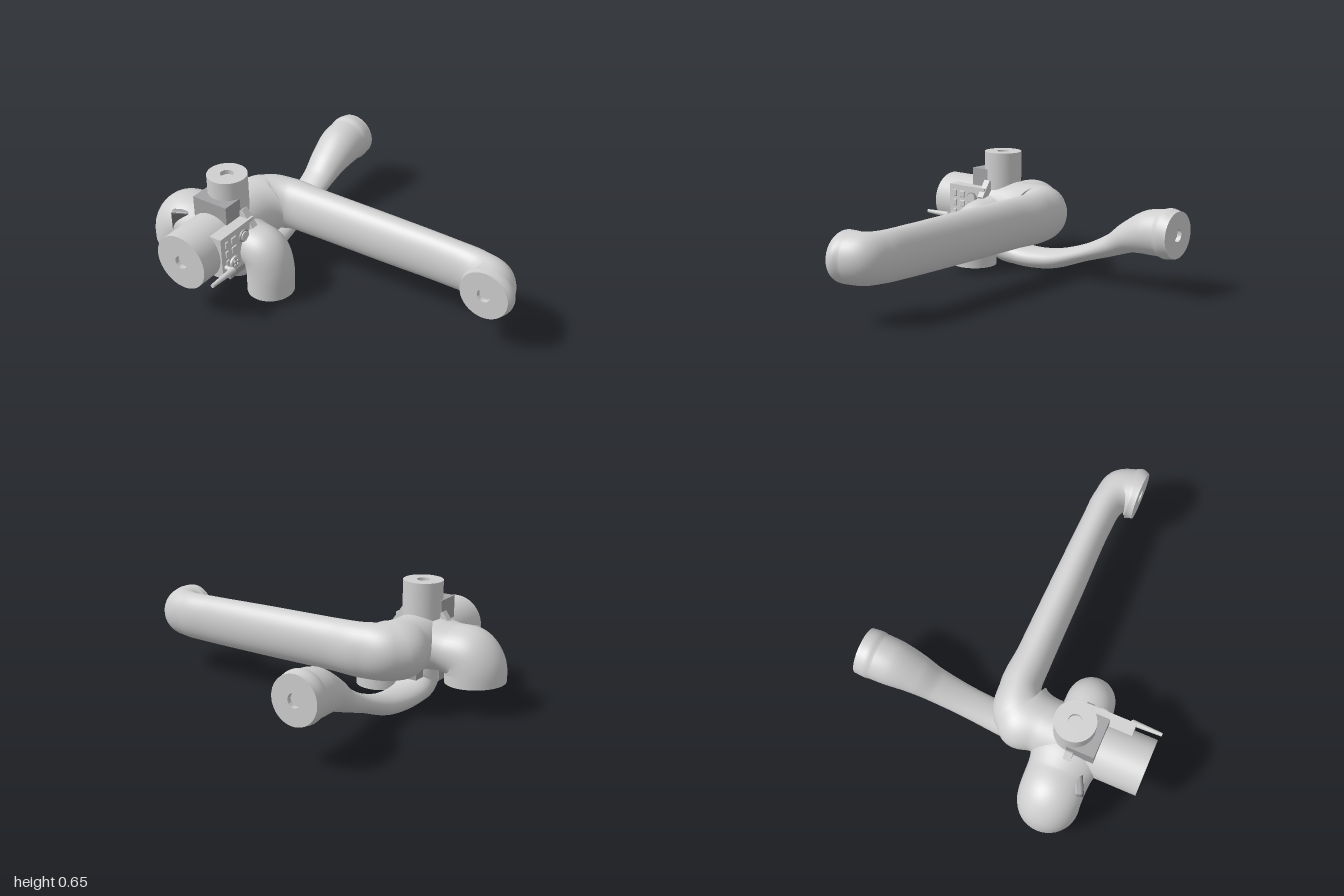
import * as THREE from 'three';
import { toCreasedNormals } from 'three/addons/utils/BufferGeometryUtils.js';
import { RoundedBoxGeometry } from 'three/addons/geometries/RoundedBoxGeometry.js';

const mat = (name, color) => {
  const m = new THREE.MeshStandardMaterial({ color });
  m.name = name;
  return m;
};

// Lofts ellipses along a planar path; each row is [x, y, z, radius along the plane normal, radius in the plane].
function loft(rows, normal, steps = 64, sides = 40) {
  const path = new THREE.CatmullRomCurve3(rows.map(r => new THREE.Vector3(r[0], r[1], r[2])));
  const radii = new THREE.CatmullRomCurve3(rows.map(r => new THREE.Vector3(r[3], r[4], 0)));
  const pos = [], idx = [], n = new THREE.Vector3();
  for (let i = 0; i <= steps; i++) {
    const t = i / steps;
    const c = path.getPoint(t), r = radii.getPoint(t);
    n.crossVectors(path.getTangent(t), normal).normalize();
    for (let j = 0; j < sides; j++) {
      const a = (j / sides) * Math.PI * 2;
      const p = c.clone().addScaledVector(normal, r.x * Math.cos(a)).addScaledVector(n, r.y * Math.sin(a));
      pos.push(p.x, p.y, p.z);
      if (i < steps) {
        const k = (j + 1) % sides, A = i * sides, B = A + sides;
        idx.push(A + j, A + k, B + k, A + j, B + k, B + j);
      }
    }
  }
  const g = new THREE.BufferGeometry();
  g.setAttribute('position', new THREE.Float32BufferAttribute(pos, 3));
  g.setIndex(idx);
  g.computeVertexNormals();
  return g;
}

export function createModel() {
  const model = new THREE.Group();
  const body = mat('light grey body', 0xcfcfcf);
  const block = mat('mid grey block', 0xa2a2a4);
  const dark = mat('dark grey screen', 0x5c5d60);
  const X = new THREE.Vector3(1, 0, 0), Y = new THREE.Vector3(0, 1, 0), Z = new THREE.Vector3(0, 0, 1);

  const add = (name, geo, m, x = 0, y = 0, z = 0, parent = model) => {
    const mesh = new THREE.Mesh(geo, m);
    mesh.name = name;
    mesh.position.set(x, y, z);
    parent.add(mesh);
    return mesh;
  };
  const box = (name, m, x, y, z, w, h, d) => add(name, new THREE.BoxGeometry(w, h, d), m, x, y, z);

  // Flat end disc with a small centre recess, facing dir
  const cap = (name, x, y, z, r, dir) => {
    const profile = [[r, 0], [0.035, 0], [0.035, -0.025], [0, -0.025]].map(p => new THREE.Vector2(...p));
    const mesh = add(name, toCreasedNormals(new THREE.LatheGeometry(profile, 40), 0.6), body, x, y, z);
    mesh.quaternion.setFromUnitVectors(Y, dir);
  };

  // Front barrel bending into the long arm
  const cy = 0.336;
  add('barrelAndLongArm', loft([
    [-0.52, cy, 0.78, 0.15, 0.15], [-0.52, cy, 0.5, 0.15, 0.15], [-0.52, cy, 0.22, 0.15, 0.15],
    [-0.5, cy, 0.09, 0.15, 0.15], [-0.39, cy, 0.034, 0.146, 0.108], [-0.2, cy, 0.032, 0.14, 0.096],
    [0.2, cy, 0.034, 0.138, 0.091], [0.6, cy, 0.037, 0.133, 0.084], [0.765, cy, 0.048, 0.13, 0.09],
    [0.845, cy, 0.085, 0.13, 0.118], [0.865, cy, 0.14, 0.13, 0.13], [0.865, cy, 0.195, 0.13, 0.13],
  ], Y, 110), body);
  cap('barrelEnd', -0.52, cy, 0.78, 0.15, Z);
  cap('longArmEnd', 0.865, cy, 0.195, 0.13, Z);

  // Upright neck
  add('neck', new THREE.CylinderGeometry(0.105, 0.105, 0.3, 40, 1, true), body, -0.52, 0.505, 0.385);
  cap('neckEnd', -0.52, 0.655, 0.385, 0.105, Y);

  // Lower limb sweeping back and up
  add('rearLimb', loft([
    [-0.52, 0.4, 0.385, 0.105, 0.105], [-0.52, 0.2, 0.388, 0.105, 0.105], [-0.52, 0.108, 0.36, 0.102, 0.09],
    [-0.52, 0.071, 0.25, 0.096, 0.063], [-0.52, 0.08, 0.02, 0.087, 0.056], [-0.52, 0.148, -0.2, 0.083, 0.047],
    [-0.52, 0.23, -0.4, 0.092, 0.062], [-0.52, 0.29, -0.51, 0.108, 0.088], [-0.524, 0.33, -0.63, 0.123, 0.12],
    [-0.525, 0.338, -0.71, 0.125, 0.125], [-0.525, 0.338, -0.79, 0.125, 0.125],
  ], X, 90), body);
  cap('rearLimbEnd', -0.525, 0.338, -0.79, 0.125, new THREE.Vector3(0, 0, -1));

  // Two short side limbs bending down
  const down = new THREE.Vector3(0, -1, 0);
  add('rightLimb', loft([
    [-0.5, 0.33, 0.385, 0.2, 0.14], [-0.62, 0.325, 0.385, 0.185, 0.135], [-0.7, 0.317, 0.385, 0.165, 0.13],
    [-0.8, 0.292, 0.385, 0.161, 0.153], [-0.836, 0.235, 0.385, 0.161, 0.16], [-0.84, 0.16, 0.385, 0.16, 0.16],
  ], Z), body);
  cap('rightLimbEnd', -0.84, 0.16, 0.385, 0.16, down);
  add('leftLimb', loft([
    [-0.52, 0.32, 0.385, 0.17, 0.13], [-0.38, 0.295, 0.385, 0.125, 0.11], [-0.3, 0.262, 0.385, 0.125, 0.125],
    [-0.272, 0.19, 0.385, 0.125, 0.126], [-0.27, 0.04, 0.385, 0.125, 0.125],
  ], Z), body);
  cap('leftLimbEnd', -0.27, 0.04, 0.385, 0.125, down);

  // Central block behind the barrel and its lower bracket
  box('centralBlock', block, -0.525, 0.3375, 0.4575, 0.21, 0.435, 0.145);
  box('lowerBracket', block, -0.52, 0.2, 0.32, 0.12, 0.09, 0.18);
  for (const s of [-1, 1]) {
    const brace = box('shoulderBrace', body, -0.52 + s * 0.13, 0.44, 0.405, 0.045, 0.11, 0.04);
    brace.rotation.z = s * 0.6;
  }

  // Flip-out screen, turned towards the barrel
  const screen = new THREE.Group();
  screen.name = 'screen';
  screen.position.set(-0.732, 0.337, 0.495);
  screen.rotation.y = 0.46;
  model.add(screen);
  add('screenCase', new RoundedBoxGeometry(0.14, 0.155, 0.045, 3, 0.015), block, 0, 0, 0, screen);
  add('screenFace', new RoundedBoxGeometry(0.132, 0.147, 0.008, 2, 0.003), dark, 0, 0, 0.021, screen);
  box('screenHinge', block, -0.655, 0.337, 0.455, 0.07, 0.18, 0.05);

  // Control panel with buttons, dial and knob
  box('controlPanel', body, -0.4, 0.337, 0.522, 0.08, 0.236, 0.265);
  for (const y of [0.405, 0.35, 0.295]) {
    add('squareButton', new RoundedBoxGeometry(0.012, 0.038, 0.022, 2, 0.004), body, -0.358, y, 0.612);
    if (y > 0.3) add('roundedButton', new RoundedBoxGeometry(0.012, 0.038, 0.038, 2, 0.005), body, -0.358, y, 0.556);
  }
  const disc = (name, m, y, z, r, h) => {
    add(name, new THREE.CylinderGeometry(r, r, h, 28), m, -0.36 + h / 2, y, z).rotation.z = -Math.PI / 2;
  };
  disc('dialRim', block, 0.39, 0.48, 0.034, 0.01);
  disc('dial', body, 0.39, 0.48, 0.027, 0.016);
  disc('knobBase', body, 0.277, 0.565, 0.034, 0.012);
  disc('knobRing', block, 0.277, 0.565, 0.026, 0.016);
  for (let i = 0; i < 4; i++) {
    const a = (i + 0.5) * Math.PI / 2;
    disc('knobStud', body, 0.277 + 0.015 * Math.sin(a), 0.565 + 0.015 * Math.cos(a), 0.008, 0.021);
  }

  // Lever: short pivot and a tapered handle pointing forwards
  add('leverPivot', new THREE.CylinderGeometry(0.012, 0.012, 0.07, 16), body, -0.34, 0.28, 0.63).rotation.z = Math.PI / 2;
  add('leverHandle', new THREE.CylinderGeometry(0.01, 0.017, 0.165, 16), body, -0.316, 0.279, 0.7075).rotation.x = Math.PI / 2;

  return model;
}
